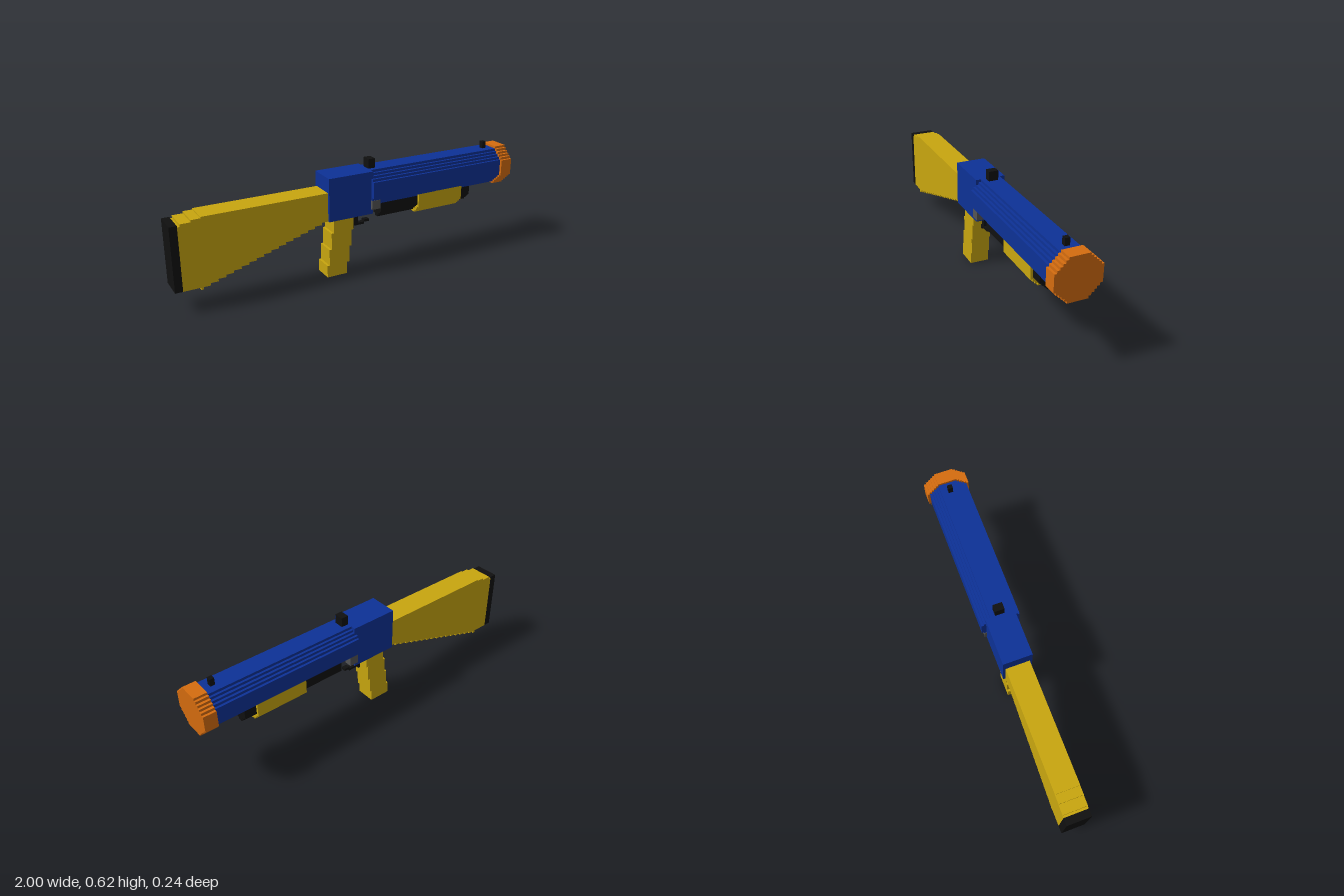
import * as THREE from 'three';

const mat = (name, color) => Object.assign(new THREE.MeshStandardMaterial({ color }), { name });

export function createModel() {
  const blue = mat('blue', 0x0d3196);
  const yellow = mat('yellow', 0xc8a60f);
  const orange = mat('orange', 0xd56c0f);
  const black = mat('black', 0x101010);
  const grey = mat('grey', 0x555555);

  const model = new THREE.Group();
  model.name = 'toyBlaster';

  const add = (name, geometry, material, parent = model) => {
    const mesh = new THREE.Mesh(geometry, material);
    mesh.name = name;
    parent.add(mesh);
    return mesh;
  };

  // Box given by its limits
  const box = (name, material, x0, x1, y0, y1, z0, z1, parent) => {
    const g = new THREE.BoxGeometry(x1 - x0, y1 - y0, z1 - z0);
    g.translate((x0 + x1) / 2, (y0 + y1) / 2, (z0 + z1) / 2);
    return add(name, g, material, parent);
  };

  // Blocky tube along x: steps are [half width, half height] from the top outwards
  const steppedTube = (name, material, x0, x1, cy, steps) => {
    const quarter = [];
    steps.forEach(([w, h], i) => {
      if (i > 0) quarter.push([steps[i - 1][0], h]);
      quarter.push([w, h]);
    });
    const half = [...quarter, ...quarter.slice().reverse().map(([w, h]) => [w, -h])];
    const outline = [...half, ...half.slice().reverse().map(([w, h]) => [-w, h])];
    const shape = new THREE.Shape(outline.map(([w, h]) => new THREE.Vector2(w, h)));
    const g = new THREE.ExtrudeGeometry(shape, { depth: x1 - x0, bevelEnabled: false });
    g.rotateY(Math.PI / 2).translate(x0, cy, 0);
    return add(name, g, material);
  };

  // Barrel and muzzle ring
  steppedTube('barrel', blue, 0.085, 0.935, 0.471,
    [[0.053, 0.1], [0.066, 0.086], [0.08, 0.073], [0.093, 0.06], [0.106, 0.046]]);
  steppedTube('muzzle', orange, 0.93, 1, 0.471,
    [[0.053, 0.1125], [0.066, 0.1], [0.08, 0.086], [0.093, 0.073], [0.107, 0.06], [0.12, 0.046]]);

  // Receiver with a small bracket on each side
  box('receiver', blue, -0.167, 0.095, 0.333, 0.571, -0.08, 0.08);
  for (const s of [-1, 1]) {
    box('bracket', grey, 0.083, 0.135, 0.36, 0.41, s * 0.073 - 0.02, s * 0.073 + 0.02);
  }

  // Sights
  box('rearSight', black, 0.095, 0.135, 0.56, 0.623, -0.026, 0.026);
  box('frontSight', black, 0.867, 0.891, 0.56, 0.61, -0.013, 0.013);

  // Magazine tube and sliding pump
  steppedTube('magazineTube', black, 0.163, 0.758, 0.346,
    [[0.013, 0.066], [0.026, 0.053], [0.04, 0.04], [0.053, 0.027]]);
  steppedTube('pump', yellow, 0.4, 0.692, 0.346,
    [[0.026, 0.079], [0.04, 0.066], [0.053, 0.053], [0.066, 0.04]]);

  // Grip leaning back in four blocks
  const gripLevels = [0, 0.068, 0.16, 0.253, 0.34];
  const grip = new THREE.Group();
  grip.name = 'grip';
  model.add(grip);
  for (let i = 0; i < 4; i++) {
    const x = -0.168 + i * 0.0133;
    box('gripBlock', yellow, x, x + 0.12, gripLevels[i], gripLevels[i + 1], -0.053, 0.053, grip);
  }

  // Trigger with its guard
  const trigger = new THREE.Group();
  trigger.name = 'trigger';
  model.add(trigger);
  box('triggerStem', black, 0.016, 0.04, 0.253, 0.34, -0.013, 0.013, trigger);
  box('guardHook', black, 0.003, 0.016, 0.24, 0.262, -0.013, 0.013, trigger);
  box('guardBar', black, 0.01, 0.08, 0.253, 0.266, -0.013, 0.013, trigger);
  box('guardTip', black, 0.078, 0.11, 0.264, 0.278, -0.013, 0.013, trigger);

  // Stock with a staircase underside
  const stock = [
    [-0.165, 0.333], [-0.165, 0.49], [-0.845, 0.49], [-0.845, 0.483], [-0.893, 0.483],
    [-0.893, 0.472], [-0.947, 0.472], [-0.947, 0.459], [-0.962, 0.459],
    [-0.962, 0.12], [-0.87, 0.12], [-0.87, 0.107], [-0.857, 0.107], [-0.857, 0.12],
  ];
  for (let i = 0; i < 16; i++) {
    const x = -0.82 + i * 0.041, y = 0.12 + i * 0.01331;
    stock.push([x, y], [x, y + 0.01331]);
  }
  const stockShape = new THREE.Shape(stock.map(([x, y]) => new THREE.Vector2(x, y)));
  const stockGeometry = new THREE.ExtrudeGeometry(stockShape, { depth: 0.132, bevelEnabled: false });
  add('stock', stockGeometry.translate(0, 0, -0.066), yellow);
  box('buttPad', black, -1, -0.96, 0.12, 0.466, -0.066, 0.066);

  return model;
}
